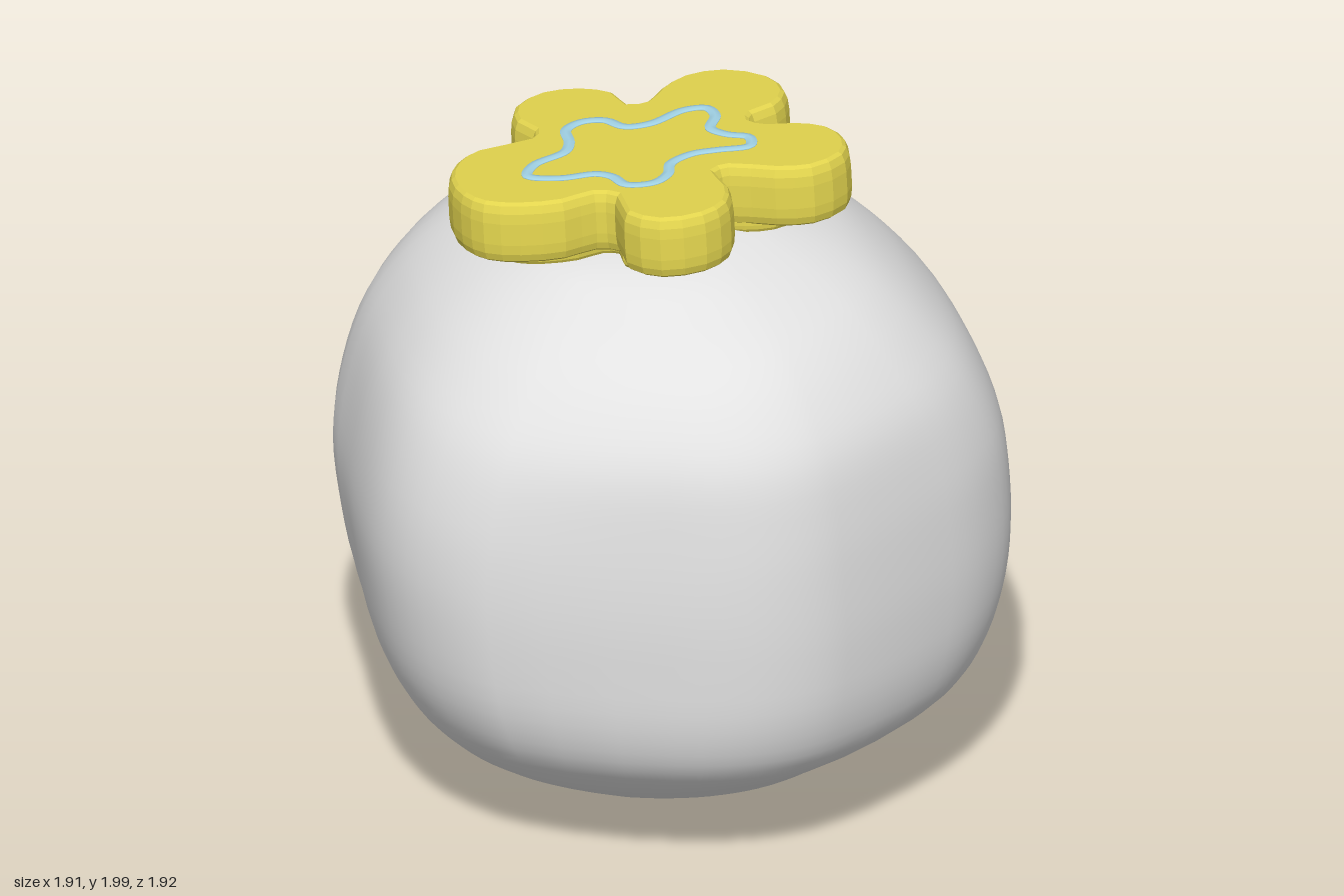
import * as THREE from 'three';

const stone = new THREE.MeshStandardMaterial({ name: 'stone grey', color: 0xe2e2e2 });
const yellow = new THREE.MeshStandardMaterial({ name: 'petal yellow', color: 0xe2d44e });
const blue = new THREE.MeshStandardMaterial({ name: 'trim blue', color: 0xa4d6ea });

// closed smooth loop through [x, z] pairs
const loop = (pts) => new THREE.CatmullRomCurve3(pts.map(([x, z]) => new THREE.Vector3(x, 0, z)), true);

// boulder plan, seen from above
const plan = [[0.95, 0], [0.91, 0.25], [0.85, 0.48], [0.77, 0.63], [0.65, 0.74], [0.5, 0.82], [0.1, 0.95],
  [-0.05, 0.96], [-0.2, 0.93], [-0.4, 0.83], [-0.82, 0.52], [-0.93, 0.33], [-0.96, 0.15], [-0.93, -0.05],
  [-0.83, -0.36], [-0.73, -0.62], [-0.5, -0.78], [0.05, -0.95], [0.15, -0.97], [0.27, -0.94], [0.35, -0.87],
  [0.8, -0.46], [0.92, -0.25], [0.95, -0.1]];

// boulder levels: y, min x, max x, min z, max z
const levels = [[0.048, -0.3, 0.42, -0.32, 0.44], [0.14, -0.48, 0.57, -0.54, 0.6], [0.27, -0.72, 0.7, -0.74, 0.75],
  [0.4, -0.83, 0.83, -0.83, 0.89], [0.55, -0.9, 0.9, -0.895, 0.945], [0.75, -0.94, 0.945, -0.94, 0.96],
  [0.95, -0.955, 0.95, -0.96, 0.955], [1.15, -0.93, 0.92, -0.935, 0.935], [1.35, -0.86, 0.83, -0.885, 0.89],
  [1.5, -0.75, 0.715, -0.81, 0.79], [1.6, -0.64, 0.61, -0.72, 0.68], [1.68, -0.52, 0.5, -0.58, 0.53],
  [1.74, -0.39, 0.36, -0.38, 0.39], [1.78, -0.1, 0.22, -0.15, 0.22], [1.79, 0.06, 0.07, 0, 0.01]];

function boulderGeometry() {
  const N = 72, M = 52;
  const curveX = new THREE.CatmullRomCurve3(levels.map((l) => new THREE.Vector3(l[0], l[1], l[2])));
  const curveZ = new THREE.CatmullRomCurve3(levels.map((l) => new THREE.Vector3(l[0], l[3], l[4])));
  const outline = loop(plan);
  const pos = [], index = [];

  const addRing = (t, shrink) => {
    const a = curveX.getPoint(t), b = curveZ.getPoint(t);
    const cx = (a.y + a.z) / 2, hx = (a.z - a.y) / 2, cz = (b.y + b.z) / 2, hz = (b.z - b.y) / 2;
    // the angular plan softens away from the waist
    const round = THREE.MathUtils.smoothstep(Math.abs(a.x - 0.9), 0.15, 0.85) * 0.7;
    const tilt = Math.max(0, 1 - a.x / 0.3) * 1.19;
    for (let j = 0; j < N; j++) {
      const p = outline.getPoint(j / N);
      const ang = Math.atan2(p.z, p.x);
      const ox = THREE.MathUtils.lerp(p.x / 0.955, Math.cos(ang), round);
      const oz = THREE.MathUtils.lerp(p.z / 0.965, Math.sin(ang), round);
      let x = cx + ox * hx * shrink;
      const z = cz + oz * hz * shrink;
      const y = a.x + tilt * (0.11 * x + 0.09 * z);
      // shallow chip in the left side
      if (x > 0.5) x -= 0.025 * Math.exp(-((y - 1.1) ** 2 + (z - 0.12) ** 2) / 0.01);
      pos.push(x, y, z);
    }
  };
  // flat underside, then a repeated rim so its edge stays crisp
  addRing(0, 0.001);
  addRing(0, 1);
  for (let i = 0; i <= M; i++) addRing(i / M, 1);
  for (let i = 0; i < M + 2; i++) {
    if (i === 1) continue;
    for (let j = 0; j < N; j++) {
      const k = (j + 1) % N;
      const a = i * N + j, b = i * N + k, c = a + N, d = b + N;
      index.push(a, c, b, b, c, d);
    }
  }
  const g = new THREE.BufferGeometry();
  g.setAttribute('position', new THREE.Float32BufferAttribute(pos, 3));
  g.setIndex(index);
  g.computeVertexNormals();
  return g;
}

// five-petal outline
const petals = [[-0.645, 0], [-0.625, -0.12], [-0.56, -0.21], [-0.47, -0.255], [-0.31, -0.245], [-0.28, -0.28],
  [-0.295, -0.36], [-0.25, -0.46], [-0.14, -0.505], [-0.03, -0.47], [0.04, -0.39], [0.04, -0.3], [0.08, -0.29],
  [0.15, -0.345], [0.25, -0.39], [0.37, -0.365], [0.46, -0.25], [0.455, -0.13], [0.38, -0.055], [0.305, -0.04],
  [0.285, -0.01], [0.31, 0.03], [0.38, 0.065], [0.45, 0.14], [0.455, 0.25], [0.4, 0.34], [0.28, 0.375],
  [0.18, 0.33], [0.08, 0.245], [0.045, 0.25], [0.035, 0.35], [-0.02, 0.45], [-0.12, 0.495], [-0.25, 0.465],
  [-0.31, 0.36], [-0.28, 0.24], [-0.32, 0.2], [-0.42, 0.205], [-0.54, 0.16], [-0.62, 0.09]];

// wavy trim on the flower's face
const wave = [[-0.43, 0], [-0.38, -0.06], [-0.27, -0.09], [-0.23, -0.14], [-0.2, -0.22], [-0.14, -0.245],
  [-0.08, -0.22], [-0.05, -0.15], [0.02, -0.13], [0.14, -0.16], [0.2, -0.14], [0.2, -0.08], [0.15, -0.01],
  [0.17, 0.05], [0.215, 0.1], [0.19, 0.155], [0.1, 0.13], [0.03, 0.115], [-0.05, 0.14], [-0.09, 0.2],
  [-0.15, 0.23], [-0.22, 0.2], [-0.23, 0.13], [-0.26, 0.09], [-0.36, 0.06]];

// rounded slab cut from the petal outline, top face at y = 0
function petalSlab(thickness, bevel) {
  const pts = loop(petals).getPoints(80).slice(0, -1).map((p) => new THREE.Vector2(p.x, -p.z));
  const g = new THREE.ExtrudeGeometry(new THREE.Shape(pts), {
    depth: thickness - 2 * bevel, bevelThickness: bevel, bevelSize: 0.022, bevelOffset: -0.022, bevelSegments: 3,
  });
  g.rotateX(-Math.PI / 2);
  g.translate(0, bevel - thickness, 0);
  return g;
}

export function createModel() {
  const model = new THREE.Group();
  const add = (parent, name, geometry, material) => {
    const mesh = new THREE.Mesh(geometry, material);
    mesh.name = name;
    parent.add(mesh);
    return mesh;
  };
  add(model, 'boulder', boulderGeometry(), stone);

  // flower resting on top, leaning back a little
  const flower = new THREE.Group();
  flower.name = 'flower';
  flower.position.y = 1.957;
  flower.rotation.set(-0.085, 0, 0.012);
  model.add(flower);
  add(flower, 'petals', petalSlab(0.185, 0.06), yellow);

  // smaller layer of petals underneath
  const under = add(flower, 'lowerPetals', petalSlab(0.06, 0.025), yellow);
  under.scale.set(0.8, 1, 0.68);
  under.position.set(-0.03, -0.155, 0.03);

  // flat ribbon of trim
  const trim = add(flower, 'trim', new THREE.TubeGeometry(loop(wave), 150, 0.018, 6, true), blue);
  trim.scale.y = 0.35;
  return model;
}
